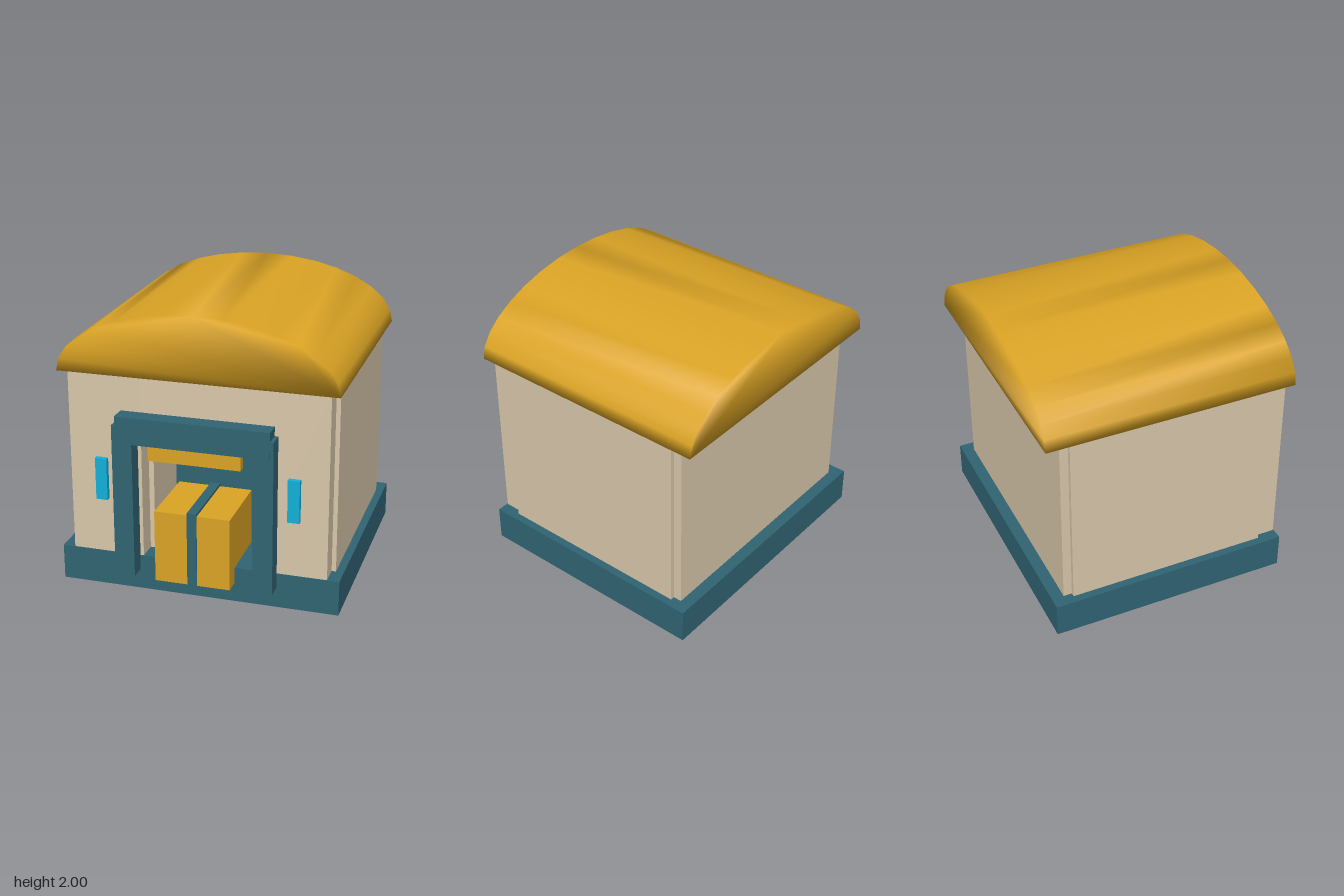
import * as THREE from 'three';
import { mergeVertices } from 'three/addons/utils/BufferGeometryUtils.js';

const material = (name, color) => {
  const m = new THREE.MeshStandardMaterial({ color });
  m.name = name;
  return m;
};

export function createModel() {
  const gold = material('gold', 0xdaa324);
  const stone = material('stone', 0xd9c8aa);
  const teal = material('teal', 0x306473);
  const cyan = material('cyan', 0x10b0da);

  const model = new THREE.Group();
  model.name = 'vaultedBuilding';

  const add = (name, geometry, mat) => {
    const mesh = new THREE.Mesh(geometry, mat);
    mesh.name = name;
    model.add(mesh);
    return mesh;
  };
  // Box given by its limits on each axis
  const box = (name, mat, [x0, x1], [y0, y1], [z0, z1]) => {
    const g = new THREE.BoxGeometry(x1 - x0, y1 - y0, z1 - z0);
    g.translate((x0 + x1) / 2, (y0 + y1) / 2, (z0 + z1) / 2);
    return add(name, g, mat);
  };
  // The same box on both sides of the model
  const pair = (name, mat, [x0, x1], y, z) => {
    box(name + 'Left', mat, [x0, x1], y, z);
    box(name + 'Right', mat, [-x1, -x0], y, z);
  };

  // Plinth
  box('plinth', teal, [-0.985, 0.985], [0, 0.25], [-0.905, 0.815]);

  // Walls around the doorway; the side walls stand slightly proud of the ends
  pair('frontWall', stone, [0.39, 0.9], [0.25, 1.55], [0.67, 0.81]);
  box('frontWallTop', stone, [-0.39, 0.39], [1.2, 1.55], [0.67, 0.81]);
  pair('sideWall', stone, [0.355, 0.93], [0.25, 1.55], [-0.76, 0.67]);
  box('ceiling', stone, [-0.355, 0.355], [1.2, 1.55], [-0.76, 0.67]);
  box('backWall', stone, [-0.9, 0.9], [0.25, 1.55], [-0.82, -0.76]);
  box('innerDoor', teal, [-0.355, 0.355], [0.25, 1.2], [0.12, 0.2]);

  // Vaulted roof: half ellipse, smooth over all its edges
  const arch = [];
  for (let i = 0; i <= 16; i++) {
    const a = (i / 16) * Math.PI;
    arch.push(new THREE.Vector2(0.965 * Math.cos(a), 1.55 + 0.45 * Math.sin(a)));
  }
  let vault = new THREE.ExtrudeGeometry(new THREE.Shape(arch), { depth: 1.78, bevelEnabled: false });
  vault.translate(0, 0, -0.935);
  vault.deleteAttribute('uv');
  vault.deleteAttribute('normal');
  vault.clearGroups();
  vault = mergeVertices(vault);
  vault.computeVertexNormals();
  add('roof', vault, gold);

  // Door frame
  pair('doorPost', teal, [0.415, 0.555], [0.145, 1.235], [0.8, 0.928]);
  box('doorLintel', teal, [-0.53, 0.53], [1.11, 1.3], [0.8, 0.93]);
  box('doorSign', gold, [-0.32, 0.32], [0.99, 1.15], [0.82, 0.88]);

  // Wall lamps
  pair('wallLamp', cyan, [0.63, 0.712], [0.65, 0.95], [0.8, 0.845]);

  // Crate in the doorway with a strap wrapped around it
  box('crate', gold, [-0.265, 0.262], [0.137, 0.65], [0.4, 0.928]);
  box('crateStrap', teal, [-0.035, 0.033], [0.137, 0.668], [0.39, 0.935]);

  return model;
}
